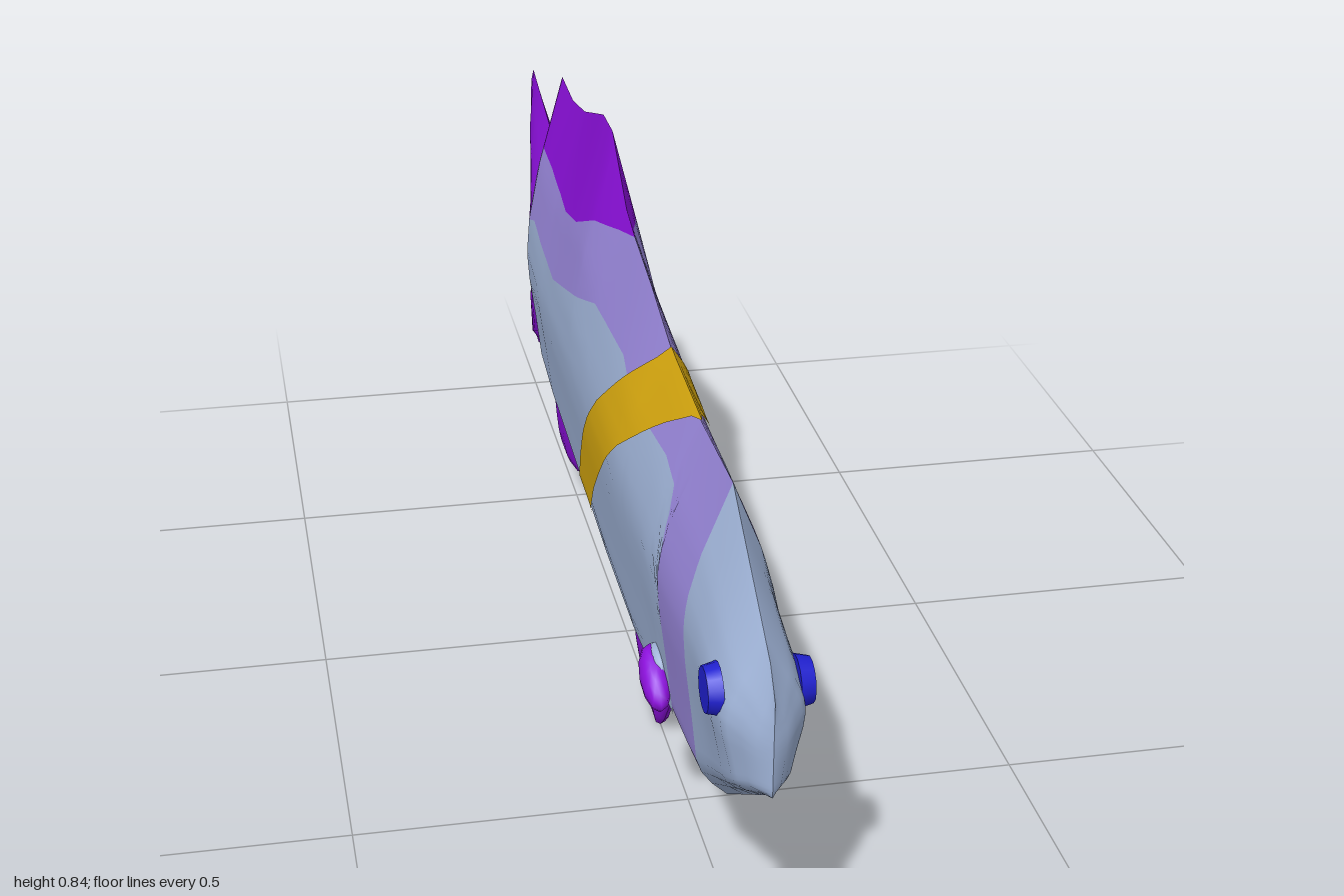
import * as THREE from 'three';

const mat = (name, color) => {
  const m = new THREE.MeshStandardMaterial({ color });
  m.name = name;
  return m;
};

// Piecewise linear lookup in a table of [key, value], keys descending
function lookup(table, k) {
  if (k >= table[0][0]) return table[0][1];
  for (let i = 1; i < table.length; i++) {
    const [k0, v0] = table[i - 1], [k1, v1] = table[i];
    if (k >= k1) return v0 + (v1 - v0) * (k0 - k) / (k0 - k1);
  }
  return table[table.length - 1][1];
}

// Side outlines: [z, y]
const TOP = [[1, .48], [.97, .52], [.75, .66], [.56, .655], [.36, .67], [.2, .71], [.07, .735], [0, .755],
  [-.12, .84], [-.2, .84], [-.38, .785], [-.5, .765], [-.6, .77], [-.615, .77], [-.618, .65], [-.68, .615], [-.73, .62]];
const BOTTOM = [[1, .34], [.97, .325], [.75, .18], [.5, .175], [.42, .155], [.3, .14], [.07, .145],
  [-.1, .165], [-.3, .18], [-.62, .2], [-.73, .195]];
const CENTRE = [[1, .42], [.75, .45]];
const WIDTH = [[1, 0], [.99, .02], [.97, .036], [.94, .056], [.9, .061], [.8, .06], [.7, .068], [.55, .074],
  [.3, .075], [-.45, .075], [-.6, .07], [-.73, .045]];
// Colour borders: [z, y]
const FIN_BASE = [[.07, .735], [-.1, .7], [-.2, .66], [-.3, .64], [-.615, .645], [-.618, .65]];
const BACK_LINE = [[.61, .48], [.595, .54], [.57, .57], [.5, .58], [.3, .57], [.2, .6], [0, .6], [-.1, .57],
  [-.3, .52], [-.55, .53], [-.61, .51], [-.64, .43]];
// Cross-section, as fraction of the width: [distance from centre, fraction], keys descending
const UPPER = [[1, 0], [.5, .66], [.2, .93], [0, 1]];
const LOWER = [[1, 0], [.97, .2], [.82, .66], [.5, .8], [.2, .95], [0, 1]];

const top = z => lookup(TOP, z);
const bottom = z => lookup(BOTTOM, z);
const finBase = z => Math.min(top(z), lookup(FIN_BASE, z));
const backLine = z => lookup(BACK_LINE, z);
const bellyLine = z => bottom(z) + .05;

function halfWidth(z, y) {
  const c = lookup(CENTRE, z);
  const f = y > c ? lookup(UPPER, (y - c) / (top(z) - c)) : lookup(LOWER, (c - y) / (c - bottom(z)));
  return lookup(WIDTH, z) * f;
}

// All stations between two z values, front to back
function stations(z0, z1) {
  const keys = [TOP, BOTTOM, WIDTH, FIN_BASE, BACK_LINE].flatMap(t => t.map(p => p[0]));
  for (let i = -20; i <= 20; i++) keys.push(i / 20);
  return [...new Set([z0, z1, ...keys])].filter(z => z <= z0 && z >= z1).sort((a, b) => b - a);
}

// Left and right surfaces from a grid of points; i runs backwards, j upwards
function mirroredSurface(ni, nj, point) {
  const pos = [], index = [];
  for (const side of [1, -1]) {
    const base = pos.length / 3;
    for (let i = 0; i <= ni; i++) for (let j = 0; j <= nj; j++) {
      const [x, y, z] = point(i, j);
      pos.push(side * x, y, z);
    }
    for (let i = 0; i < ni; i++) for (let j = 0; j < nj; j++) {
      const a = base + i * (nj + 1) + j, b = a + nj + 1;
      if (side > 0) index.push(a, b, b + 1, a, b + 1, a + 1);
      else index.push(a, b + 1, b, a, a + 1, b + 1);
    }
  }
  const g = new THREE.BufferGeometry();
  g.setAttribute('position', new THREE.Float32BufferAttribute(pos, 3));
  g.setIndex(index);
  g.computeVertexNormals();
  return g;
}

export function createModel() {
  const silver = mat('silver blue', 0xa0b4d8);
  const lavender = mat('lavender', 0x9a88dc);
  const violet = mat('violet', 0x8c10dc);
  const gold = mat('gold', 0xdcac10);
  const grey = mat('belly grey', 0xb0aabf);
  const blue = mat('eye blue', 0x2020d0);

  const group = new THREE.Group();
  const add = (name, geometry, material) => {
    const m = new THREE.Mesh(geometry, material);
    m.name = name;
    group.add(m);
    return m;
  };

  // Body skin, divided along its colour borders
  const skin = (name, material, z0, z1, low, high, rows) => {
    const zs = stations(z0, z1);
    add(name, mirroredSurface(zs.length - 1, rows, (i, j) => {
      const z = zs[i], y = low(z) + (high(z) - low(z)) * j / rows;
      return [halfWidth(z, y), y, z];
    }), material);
  };
  skin('head', silver, 1, .75, bottom, top, 24);
  skin('gillBand', lavender, .75, .61, bottom, top, 24);
  skin('belly', grey, .61, -.64, bottom, bellyLine, 6);
  skin('flanks', silver, .61, -.64, bellyLine, backLine, 14);
  skin('back', lavender, .61, -.64, backLine, finBase, 6);
  skin('dorsalFin', violet, .07, -.618, finBase, top, 6);
  skin('tailRoot', lavender, -.64, -.73, bottom, top, 24);

  // Diagonal stripe: [y, front z, rear z]
  const stripe = [[.67, .56, .35], [.6, .44, .26], [.5, .3, .14], [.4, .18, .03], [.3, .05, -.08], [.165, -.09, -.2]];
  const fronts = stripe.map(p => [p[0], p[1]]), rears = stripe.map(p => [p[0], p[2]]);
  const rows = 24;
  add('stripe', mirroredSurface(6, rows, (i, j) => {
    let y = .165 + .505 * j / rows;
    const f = lookup(fronts, y), z = f + (lookup(rears, y) - f) * i / 6;
    if (j === 0) return [0, bottom(z) - .003, z];
    if (j === rows) return [0, top(z) + .004, z];
    y = Math.min(Math.max(y, bottom(z)), top(z));
    return [halfWidth(z, y) + .003, y, z];
  }), gold);

  // Tail fin fanned from the root to its forked rear edge: [z, y]
  const fork = [[-.95, .115], [-1, .12], [-1, .22], [-.95, .235], [-.88, .28], [-.84, .35], [-.835, .42],
    [-.85, .48], [-.97, .61], [-.99, .645], [-.96, .675]];
  add('tailFin', mirroredSurface(6, fork.length - 1, (i, j) => {
    const s = i / 6, y = .195 + .425 * j / (fork.length - 1);
    return [halfWidth(-.73, y) * (1 - s ** 2.5), y + (fork[j][1] - y) * s, -.73 + (fork[j][0] + .73) * s];
  }), violet);

  // Lower fins hanging from the belly: outline [z, y]
  const lowerFin = (name, outline, thick) => {
    const n = 6;
    add(name, mirroredSurface(outline.length - 1, n, (i, j) => {
      const [z, low] = outline[i], t = j / n;
      const taper = Math.sin(Math.PI * i / (outline.length - 1)) ** .5;
      return [thick * taper * Math.sqrt(t), low + (bottom(z) + .02 - low) * t * t, z];
    }), violet);
  };
  lowerFin('pelvicFin', [[.42, .16], [.36, .08], [.32, .03], [.29, .003], [.21, .008], [.14, .05], [.1, .11], [.07, .145]], .018);
  lowerFin('analFin', [[-.25, .185], [-.35, .125], [-.42, .09], [-.5, .07], [-.57, .07], [-.59, .1], [-.605, .16], [-.62, .2]], .03);

  // Eyes and small side fins
  for (const side of [1, -1]) {
    const label = side > 0 ? 'left' : 'right';
    const eye = add(label + 'Eye', new THREE.CylinderGeometry(.031, .036, .02, 14), blue);
    eye.rotation.z = -side * Math.PI / 2;
    eye.position.set(side * .06, .45, .905);

    const base = add(label + 'SideFinBase', new THREE.SphereGeometry(1, 12, 8), silver);
    base.scale.set(.017, .034, .04);
    base.position.set(side * .059, .27, .55);

    const fin = add(label + 'SideFin', new THREE.SphereGeometry(1, 12, 8), violet);
    fin.scale.set(.022, .025, .055);
    fin.rotation.x = .5;
    fin.position.set(side * .066, .266, .572);
  }
  return group;
}
